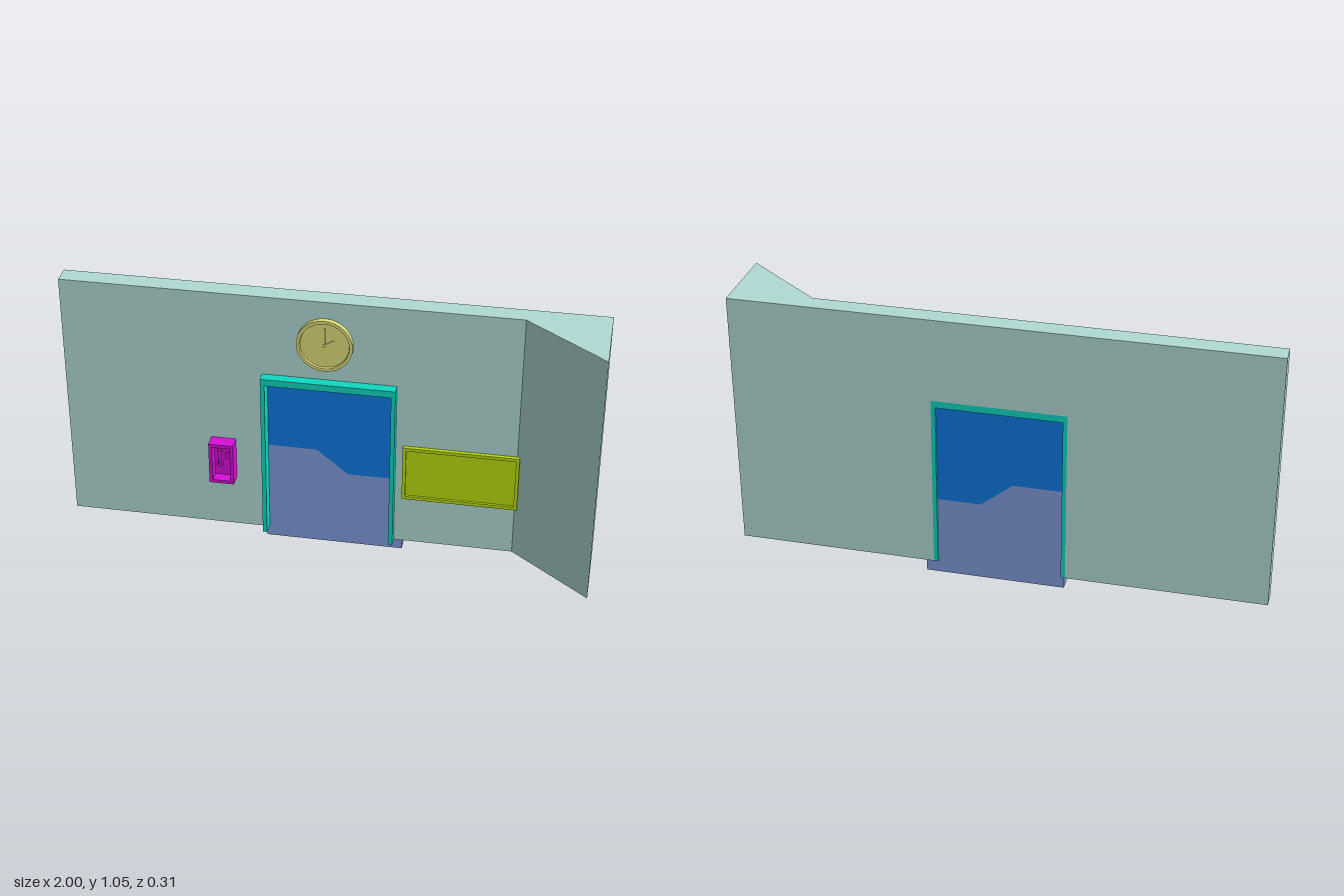
import * as THREE from 'three';

const mat = (color) => new THREE.MeshStandardMaterial({ color, side: THREE.DoubleSide });
const MATS = {
  wall: mat(0xb0dad4), frame: mat(0x10d8c2), lower: mat(0x809cdb), upper: mat(0x0d78e0),
  clock: mat(0xdedc7a), board: mat(0xb8dc0c), phone: mat(0xd80fd8),
};

function add(parent, name, geometry, material, x = 0, y = 0, z = 0) {
  const mesh = new THREE.Mesh(geometry, material);
  mesh.name = name;
  mesh.position.set(x, y, z);
  parent.add(mesh);
  return mesh;
}

const polygon = (points) => new THREE.Shape(points.map(([x, y]) => new THREE.Vector2(x, y)));

// Front outline extruded between two depths
function slab(shape, z0, z1) {
  return new THREE.ExtrudeGeometry(shape, { depth: z1 - z0, bevelEnabled: false }).translate(0, 0, z0);
}

// Rectangular ring between two depths
function ring(x0, y0, x1, y1, border, z0, z1) {
  const shape = polygon([[x0, y0], [x1, y0], [x1, y1], [x0, y1]]);
  const b = border;
  shape.holes.push(polygon([[x0 + b, y0 + b], [x0 + b, y1 - b], [x1 - b, y1 - b], [x1 - b, y0 + b]]));
  return slab(shape, z0, z1);
}

function block(x0, y0, z0, x1, y1, z1) {
  return new THREE.BoxGeometry(x1 - x0, y1 - y0, z1 - z0)
    .translate((x0 + x1) / 2, (y0 + y1) / 2, (z0 + z1) / 2);
}

function createClock() {
  const clock = new THREE.Group();
  clock.name = 'clock';
  // Raised rim around a recessed dial
  const profile = [[0, 0], [0.104, 0], [0.104, 0.02], [0.092, 0.02], [0.09, 0.012], [0, 0.012]]
    .map(([r, h]) => new THREE.Vector2(r, h));
  const body = new THREE.LatheGeometry(profile, 32).toNonIndexed();
  body.computeVertexNormals();
  add(clock, 'clockBody', body.rotateX(Math.PI / 2), MATS.clock);
  // Hands pivot at the dial centre
  for (const [name, length, angle] of [['minuteHand', 0.075, 0], ['hourHand', 0.045, -1]]) {
    const hand = new THREE.BoxGeometry(0.006, length, 0.004).translate(0, length / 2 - 0.005, 0);
    add(clock, name, hand, MATS.clock, 0, 0, 0.014).rotation.z = angle;
  }
  add(clock, 'clockPin', new THREE.CylinderGeometry(0.006, 0.006, 0.006, 12).rotateX(Math.PI / 2),
    MATS.clock, 0, 0, 0.014);
  clock.position.set(-0.015, 0.88, -0.085);
  return clock;
}

function createPhone() {
  const phone = new THREE.Group();
  phone.name = 'wallPhone';
  // Open box with a back plate
  add(phone, 'phoneCase', ring(-0.047, -0.085, 0.047, 0.085, 0.013, 0, 0.055), MATS.phone);
  add(phone, 'phoneBack', block(-0.036, -0.074, 0, 0.036, 0.074, 0.012), MATS.phone);
  // Handset: curved grip with an ear piece and a mouth piece
  const handset = new THREE.Group();
  handset.name = 'handset';
  const curve = new THREE.QuadraticBezierCurve3(
    new THREE.Vector3(0, -0.03, 0), new THREE.Vector3(0, 0, 0.022), new THREE.Vector3(0, 0.03, 0));
  add(handset, 'grip', new THREE.TubeGeometry(curve, 10, 0.006, 8), MATS.phone);
  for (const s of [-1, 1]) {
    add(handset, s > 0 ? 'earPiece' : 'mouthPiece',
      new THREE.CylinderGeometry(0.01, 0.011, 0.014, 12).rotateX(Math.PI / 2), MATS.phone, 0, s * 0.031, 0);
  }
  handset.position.set(-0.012, 0.012, 0.02);
  phone.add(handset);
  // Small keypad beside the handset
  add(phone, 'keypad', block(0.009, 0.002, 0.01, 0.027, 0.03, 0.018), MATS.phone);
  phone.position.set(-0.402, 0.35, -0.085);
  return phone;
}

export function createModel() {
  const model = new THREE.Group();
  model.name = 'wallWithDoor';

  // Wall with a doorway, and a slanted buttress at its left end
  add(model, 'wall', slab(polygon([
    [-1, 0.05], [-0.25, 0.05], [-0.25, 0.73], [0.25, 0.73],
    [0.25, 0.05], [1, 0.05], [1, 1.05], [-1, 1.05]]), -0.16, -0.085), MATS.wall);
  const wedge = slab(polygon([[0.7, 0.085], [1, -0.155], [1, 0.085]]), 0.05, 1.05).rotateX(-Math.PI / 2);
  add(model, 'wallWedge', wedge, MATS.wall);

  // Door frame standing proud of the wall
  add(model, 'doorFrame', slab(polygon([
    [-0.25, 0.05], [-0.234, 0.05], [-0.234, 0.703], [0.234, 0.703],
    [0.234, 0.05], [0.25, 0.05], [0.25, 0.73], [-0.25, 0.73]]), -0.16, -0.045), MATS.frame);

  // Two door leaves meeting along a stepped seam
  const seam = [[-0.245, 0.413], [-0.05, 0.413], [0.07, 0.316]];
  add(model, 'lowerDoor', slab(polygon([
    [-0.245, 0], [0.28, 0], [0.28, 0.316], ...[...seam].reverse()]), -0.15, -0.1), MATS.lower);
  add(model, 'upperDoor', slab(polygon([
    ...seam, [0.245, 0.316], [0.245, 0.715], [-0.245, 0.715]]), -0.15, -0.1), MATS.upper);

  // Notice board with a raised border
  const board = new THREE.Group();
  board.name = 'noticeBoard';
  add(board, 'boardBorder', ring(0.278, 0.25, 0.71, 0.477, 0.013, -0.09, -0.07), MATS.board);
  add(board, 'boardPanel', block(0.285, 0.257, -0.09, 0.703, 0.47, -0.079), MATS.board);
  model.add(board);

  model.add(createClock(), createPhone());
  return model;
}
